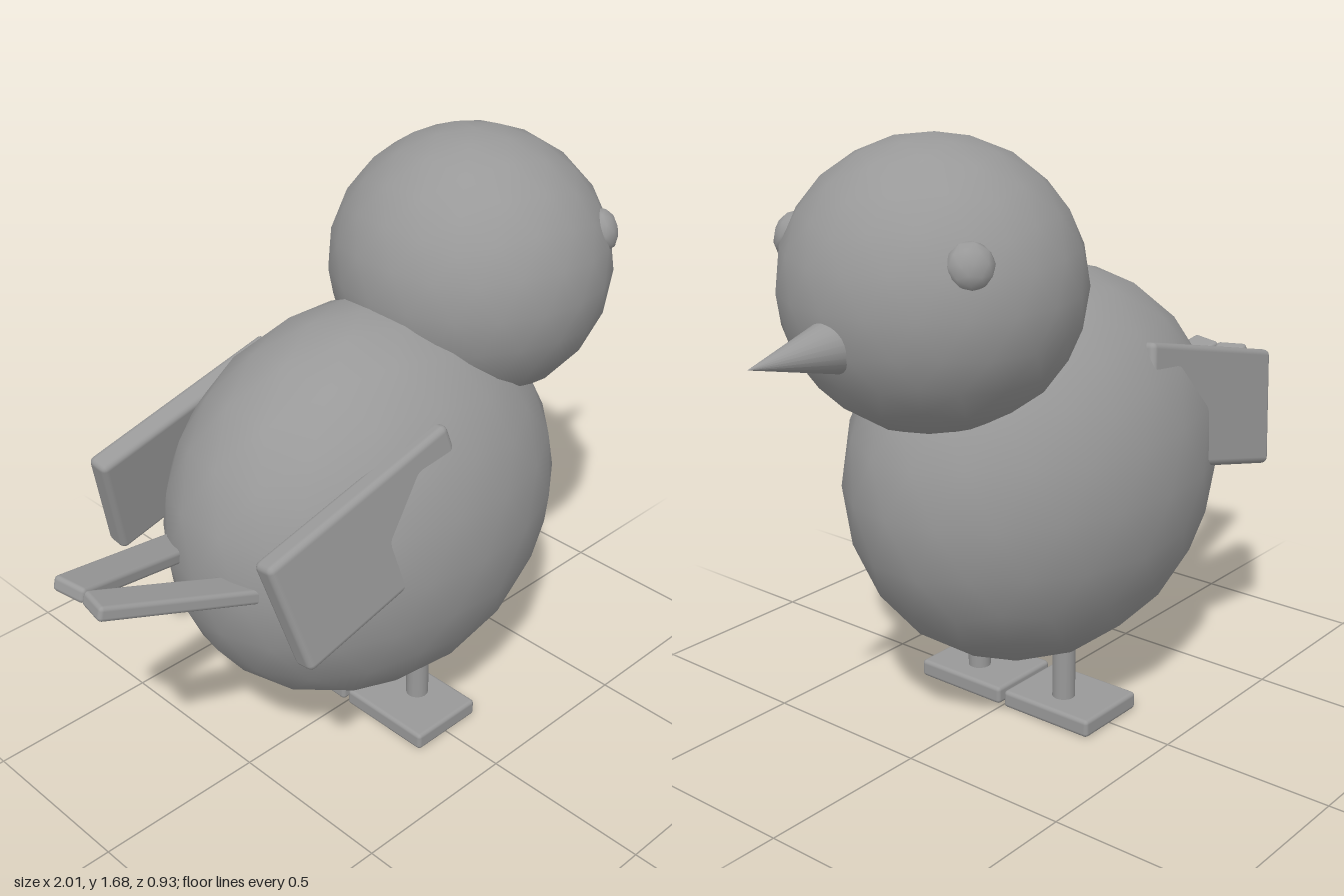
import * as THREE from 'three';
import { RoundedBoxGeometry } from 'three/addons/geometries/RoundedBoxGeometry.js';

export function createModel() {
  const model = new THREE.Group();
  model.name = 'chick';
  const grey = new THREE.MeshStandardMaterial({ color: 0x999999 });
  grey.name = 'plain grey';

  function add(name, geometry, x, y, z, parent = model) {
    const mesh = new THREE.Mesh(geometry, grey);
    mesh.name = name;
    mesh.position.set(x, y, z);
    parent.add(mesh);
    return mesh;
  }
  // Low-poly, smooth-shaded ball with a vertex at each pole
  const ball = (rx, ry, rz, detail = 3) =>
    new THREE.IcosahedronGeometry(1, detail).rotateZ(-0.5536).scale(rx, ry, rz);
  const slab = (w, h, d, r = 0.012) => new RoundedBoxGeometry(w, h, d, 2, r);

  // Body, head and beak
  add('body', ball(0.615, 0.568, 0.463), -0.04, 0.713, 0);
  add('head', ball(0.395, 0.382, 0.398), 0.375, 1.295, 0);
  add('beak', new THREE.ConeGeometry(0.078, 0.3, 24).rotateZ(-Math.PI / 2), 0.85, 1.21, 0);

  // Tail feathers, raised together and converging at the tips
  const tail = new THREE.Group();
  tail.name = 'tail';
  tail.position.set(-0.99, 0.84, 0);
  tail.rotation.z = -0.27;
  model.add(tail);

  for (const side of [-1, 1]) {
    const label = side > 0 ? 'front' : 'back';

    // Flattened eye lying on the head surface
    const eye = add(label + 'Eye', ball(0.06, 0.06, 0.04, 1), 0.575, 1.418, side * 0.3);
    eye.lookAt(0.95, 1.65, side * 0.87);

    // Wing: raised at the shoulder, lower edge flared outward
    const wing = add(label + 'Wing', slab(0.63, 0.335, 0.068, 0.018), -0.355, 0.865, side * 0.355);
    wing.rotation.order = 'ZXY';
    wing.rotation.set(-side * 0.17, 0, 0.245);

    // Tail feather
    const feather = add(label + 'TailFeather', slab(0.5, 0.042, 0.1), 0.235, 0, side * 0.099, tail);
    feather.rotation.y = -side * 0.21;

    // Leg and foot
    add(label + 'Leg', new THREE.CylinderGeometry(0.033, 0.033, 0.3, 16), 0.027, 0.15, side * 0.158);
    add(label + 'Foot', slab(0.236, 0.052, 0.3), 0, 0.026, side * 0.158);
  }
  return model;
}
